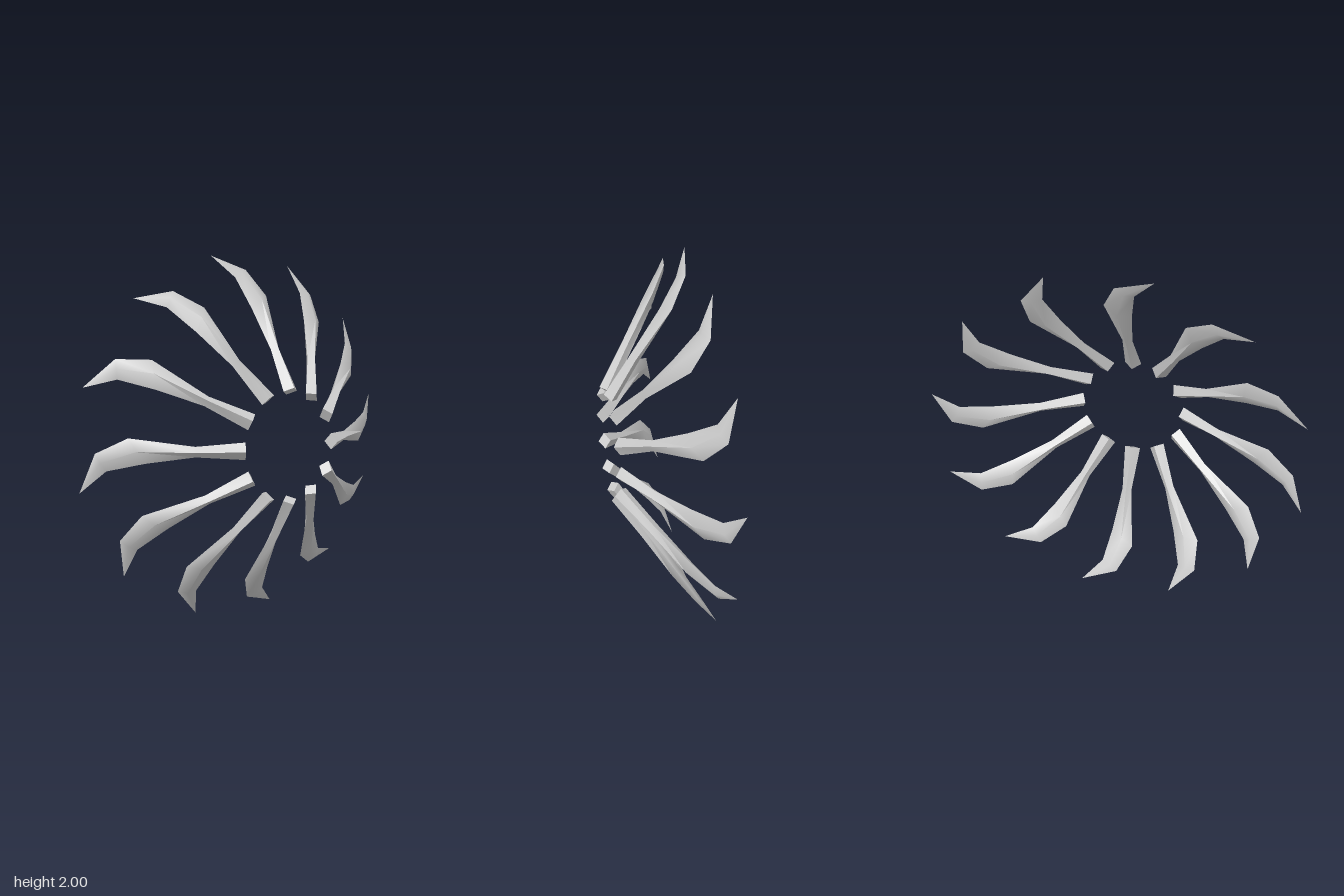
import * as THREE from 'three';
import { toCreasedNormals } from 'three/addons/utils/BufferGeometryUtils.js';

const BLADES = 12;

// Cross-sections from grip to point: leading edge [radius, offset], trailing edge [radius, offset], half thickness
const SECTIONS = [
  { lead: [0.29, 0.045], trail: [0.29, -0.045], h: 0.038 },
  { lead: [0.505, 0.027], trail: [0.505, -0.027], h: 0.03 },
  { lead: [0.72, 0.055], trail: [0.79, -0.075], h: 0.03 },
  { lead: [0.885, 0.09], trail: [0.93, 0.0], h: 0.018 },
];
const TIP = [1.0, 0.2];

// The blade lies on a plane that leans back as the radius grows
const onPlane = ([r, t], h = 0) =>
  new THREE.Vector3(r + 0.52 * h, t, 0.2 - (r - 0.29) * 0.61 + 0.854 * h);

function bladeGeometry() {
  // Four-cornered rings: leading edge, front ridge, trailing edge, back ridge
  const rings = SECTIONS.map(({ lead, trail, h }) => {
    const mid = [(lead[0] + trail[0]) / 2, (lead[1] + trail[1]) / 2];
    return [onPlane(lead), onPlane(mid, h), onPlane(trail), onPlane(mid, -h)];
  });
  const tip = onPlane(TIP);
  const points = [];
  const tri = (a, b, c) => points.push(a, b, c);

  for (let k = 0; k < rings.length; k++) {
    for (let j = 0; j < 4; j++) {
      const a = rings[k][j], b = rings[k][(j + 1) % 4];
      if (k === rings.length - 1) {
        tri(a, b, tip);
      } else {
        const c = rings[k + 1][(j + 1) % 4], d = rings[k + 1][j];
        tri(a, b, c);
        tri(a, c, d);
      }
    }
  }
  // Inner end cap
  const [p, q, r, s] = rings[0];
  tri(p, s, r);
  tri(p, r, q);

  const geometry = new THREE.BufferGeometry().setFromPoints(points);
  return toCreasedNormals(geometry, 1.05);
}

export function createModel() {
  const model = new THREE.Group();
  model.name = 'bladeRing';
  const geometry = bladeGeometry();
  const material = new THREE.MeshStandardMaterial({ color: 0xcccccc });

  // Blades evenly spaced around the z axis
  for (let i = 0; i < BLADES; i++) {
    const blade = new THREE.Mesh(geometry, material);
    blade.name = `blade${i + 1}`;
    blade.position.y = 1;
    blade.rotation.z = (i / BLADES) * Math.PI * 2;
    model.add(blade);
  }
  return model;
}
